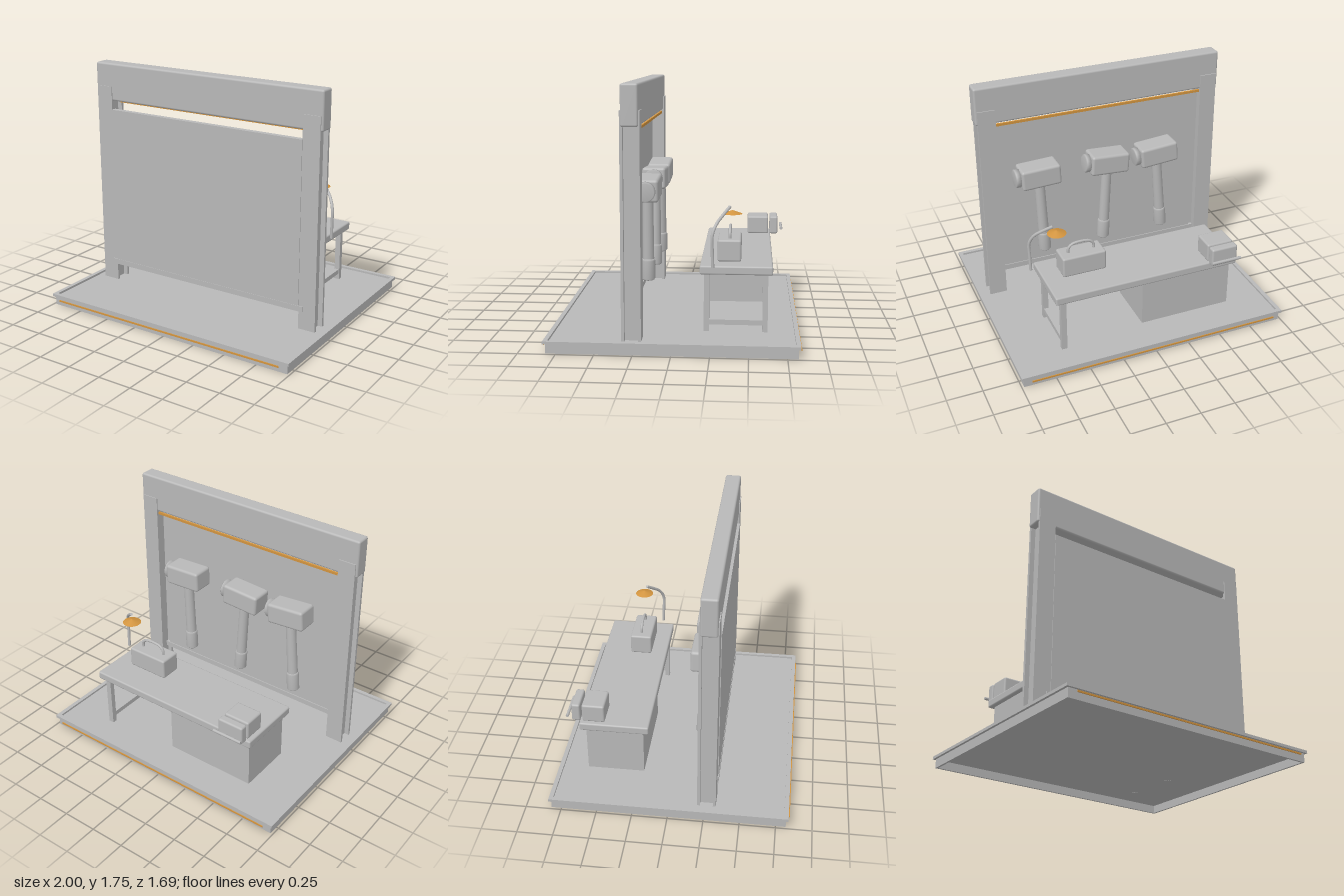
import * as THREE from 'three';
import { RoundedBoxGeometry } from 'three/addons/geometries/RoundedBoxGeometry.js';

const grey = new THREE.MeshStandardMaterial({ color: 0xb8b8b8 });
grey.name = 'plain grey';
const amber = new THREE.MeshStandardMaterial({ color: 0xd2943f });
amber.name = 'amber';

function add(parent, name, geometry, x = 0, y = 0, z = 0, material = grey) {
  const mesh = new THREE.Mesh(geometry, material);
  mesh.name = name;
  mesh.position.set(x, y, z);
  parent.add(mesh);
  return mesh;
}

// Box given by its extents; a radius above zero rounds the edges
function box(parent, name, [x0, x1], [y0, y1], [z0, z1], radius = 0, material = grey) {
  const size = [x1 - x0, y1 - y0, z1 - z0];
  const geometry = radius
    ? new RoundedBoxGeometry(...size, 2, radius)
    : new THREE.BoxGeometry(...size);
  return add(parent, name, geometry, (x0 + x1) / 2, (y0 + y1) / 2, (z0 + z1) / 2, material);
}

function tube(parent, name, points, radius) {
  const curve = new THREE.CatmullRomCurve3(points.map(p => new THREE.Vector3(...p)));
  const mesh = add(parent, name, new THREE.TubeGeometry(curve, 24, radius, 10));
  // Caps on both ends
  for (const t of [0, 1]) {
    const cap = add(parent, name + 'Cap', new THREE.CircleGeometry(radius, 10));
    const end = curve.getPoint(t);
    cap.position.copy(end);
    cap.lookAt(end.clone().addScaledVector(curve.getTangent(t), t ? 1 : -1));
  }
  return mesh;
}

// Rectangular frame of four bars
function frame(parent, name, hx, hz, y, width) {
  for (const s of [-1, 1]) {
    const zs = [s * hz, s * (hz - width)].sort((a, b) => a - b);
    const xs = [s * hx, s * (hx - width)].sort((a, b) => a - b);
    box(parent, name, [-hx, hx], y, zs);
    box(parent, name, xs, y, [-hz + width, hz - width]);
  }
}

function createBase() {
  const g = new THREE.Group();
  g.name = 'base';
  box(g, 'floor', [-0.98, 0.98], [0.058, 0.07], [-0.815, 0.815]);
  frame(g, 'skirt', 0.983, 0.82, [0, 0.065], 0.015);
  frame(g, 'rim', 1, 0.836, [0.065, 0.085], 0.03);
  for (const s of [-1, 1])
    add(g, 'baseStripe', new THREE.BoxGeometry(1.86, 0.012, 0.006), 0, 0.046, s * 0.841, amber);
  return g;
}

function createDoorway() {
  const g = new THREE.Group();
  g.name = 'doorway';
  box(g, 'header', [-0.93, 0.93], [1.47, 1.745], [0.208, 0.323], 0.015);
  // Columns: two flanges joined by a web
  for (const s of [-1, 1]) {
    const column = new THREE.Group();
    column.name = 'column';
    column.position.x = s * 0.852;
    g.add(column);
    box(column, 'frontFlange', [-0.064, 0.064], [0.068, 1.575], [0.31, 0.33]);
    box(column, 'backFlange', [-0.064, 0.064], [0.068, 1.575], [0.2, 0.22]);
    box(column, 'web', [-0.03, 0.03], [0.068, 1.5], [0.22, 0.31]);
  }
  box(g, 'shutter', [-0.788, 0.788], [0.2, 1.407], [0.295, 0.335]);
  box(g, 'shutterBottomBar', [-0.82, 0.82], [0.2, 0.24], [0.288, 0.338]);
  box(g, 'amberRail', [-0.79, 0.79], [1.442, 1.46], [0.216, 0.23], 0, amber);
  return g;
}

function createHammer(x, tilt) {
  const g = new THREE.Group();
  g.name = 'hammer';
  g.position.set(x, 1.025, 0.195);
  g.rotation.z = tilt;
  box(g, 'hammerHead', [-0.148, 0.148], [-0.077, 0.077], [-0.085, 0.085], 0.02);
  // Striking face on the left end
  const profile = [[0, 0], [0.068, 0], [0.068, 0.038], [0.06, 0.046], [0, 0.046]];
  const face = add(g, 'strikingFace',
    new THREE.LatheGeometry(profile.map(p => new THREE.Vector2(...p)), 20), 0.14);
  face.rotation.z = -Math.PI / 2;
  add(g, 'handle', new THREE.CylinderGeometry(0.037, 0.04, 0.45, 16), 0, -0.285, 0);
  const grip = [[0, -0.645], [0.038, -0.645], [0.047, -0.635], [0.047, -0.508], [0.04, -0.495], [0, -0.495]];
  add(g, 'grip', new THREE.LatheGeometry(grip.map(p => new THREE.Vector2(...p)), 16));
  return g;
}

function createBench() {
  const g = new THREE.Group();
  g.name = 'workbench';
  box(g, 'benchTop', [-0.688, 0.682], [0.47, 0.53], [-0.657, -0.168], 0.012);
  box(g, 'cabinet', [-0.655, 0.027], [0.115, 0.472], [-0.615, -0.21]);
  for (const z of [-0.213, -0.608])
    box(g, 'benchLeg', [0.6, 0.64], [0.056, 0.472], [z - 0.018, z + 0.018]);
  box(g, 'stretcher', [0.605, 0.635], [0.115, 0.15], [-0.592, -0.23]);

  // Toolbox with arched handle
  box(g, 'toolbox', [0.23, 0.55], [0.53, 0.68], [-0.443, -0.283], 0.014);
  tube(g, 'toolboxHandle', [[0.295, 0.67, -0.365], [0.298, 0.715, -0.365], [0.33, 0.743, -0.365],
    [0.45, 0.743, -0.365], [0.482, 0.715, -0.365], [0.485, 0.67, -0.365]], 0.01);

  // Vise
  box(g, 'viseBody', [-0.66, -0.463], [0.53, 0.665], [-0.64, -0.48], 0.014);
  box(g, 'viseJaw', [-0.66, -0.463], [0.53, 0.665], [-0.713, -0.652], 0.014);
  const rod = add(g, 'viseRod', new THREE.CylinderGeometry(0.011, 0.011, 0.225, 10), -0.56, 0.576, -0.74);
  rod.rotation.z = Math.PI / 2;

  // Lamp
  tube(g, 'lampArm', [[0.728, 0.53, -0.258], [0.73, 0.64, -0.254], [0.73, 0.75, -0.254],
    [0.7, 0.82, -0.281], [0.65, 0.868, -0.32], [0.588, 0.917, -0.366]], 0.011);
  add(g, 'lampShade', new THREE.ConeGeometry(0.067, 0.025, 24), 0.57, 0.879, -0.382, amber);
  return g;
}

export function createModel() {
  const model = new THREE.Group();
  model.name = 'workshopBay';
  model.add(createBase(), createDoorway(), createBench());
  for (const [x, tilt] of [[0.497, -0.04], [-0.037, 0.06], [-0.433, -0.08]])
    model.add(createHammer(x, tilt));
  return model;
}
